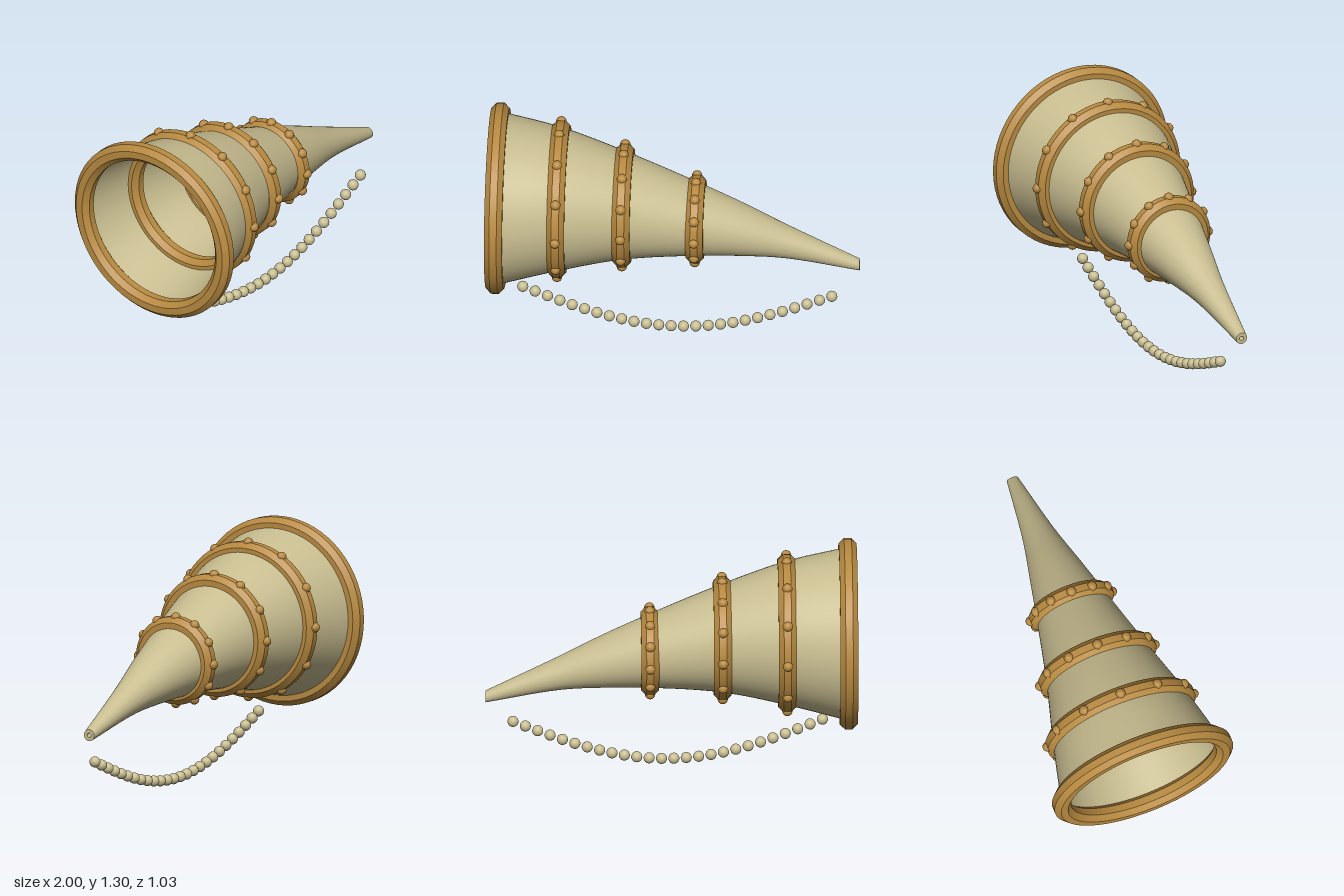
import * as THREE from 'three';
import { toCreasedNormals } from 'three/addons/utils/BufferGeometryUtils.js';

const cream = new THREE.MeshStandardMaterial({ color: 0xc8bd90 });
cream.name = 'cream horn';
const gold = new THREE.MeshStandardMaterial({ color: 0xb88a40 });
gold.name = 'old gold';

// Horn stations: x, height of the centre line, radius
const spine = new THREE.CatmullRomCurve3([
  [-0.95, 0.79, 0.468],
  [-0.62, 0.797, 0.388],
  [-0.275, 0.77, 0.293],
  [0.115, 0.698, 0.2],
  [0.36, 0.64, 0.145],
  [0.6, 0.57, 0.092],
  [0.998, 0.433, 0.032],
].map((p) => new THREE.Vector3(...p)));

function mesh(name, geometry, material) {
  const m = new THREE.Mesh(geometry, material);
  m.name = name;
  return m;
}

// Spin a profile of (radius, x) about the x axis
function latheX(points, segments) {
  return new THREE.LatheGeometry(points, segments).rotateZ(-Math.PI / 2);
}

// Hollow horn: outer wall to the tip, then the inner wall back to the mouth
function hornGeometry() {
  const stations = spine.getPoints(48);
  const rows = [
    ...stations.map((s) => ({ x: s.x, y: s.y, r: s.z })),
    ...stations.map((s) => ({ x: s.x, y: s.y, r: Math.max(s.z - 0.02, 0.01) })).reverse(),
  ];
  const geo = latheX(rows.map((s) => new THREE.Vector2(s.r, s.x)), 64);
  const pos = geo.attributes.position;
  // Lift each round section onto the drooping centre line
  for (let i = 0; i < pos.count; i++) pos.setY(i, pos.getY(i) + rows[i % rows.length].y);
  return toCreasedNormals(geo, 0.6);
}

// Band with an eight-sided section
function bandGeometry(radius) {
  const points = [];
  for (let i = 0; i <= 8; i++) {
    const a = (i - 0.5) * Math.PI / 4;
    points.push(new THREE.Vector2(radius + 0.052 * Math.cos(a), 0.052 * Math.sin(a)));
  }
  return toCreasedNormals(latheX(points, 64), 0.5);
}

export function createModel() {
  const model = new THREE.Group();
  model.name = 'banded horn';
  model.add(mesh('horn', hornGeometry(), cream));

  // Rim and three studded bands
  const studGeo = new THREE.SphereGeometry(0.028, 10, 8);
  const bands = [
    { name: 'mouthRim', x: -0.952, y: 0.79, r: 0.467, studs: 0 },
    { name: 'wideBand', x: -0.622, y: 0.797, r: 0.378, studs: 12 },
    { name: 'middleBand', x: -0.275, y: 0.77, r: 0.287, studs: 12 },
    { name: 'narrowBand', x: 0.115, y: 0.697, r: 0.192, studs: 12 },
  ];
  for (const b of bands) {
    const group = new THREE.Group();
    group.name = b.name;
    group.position.set(b.x, b.y, 0);
    group.add(mesh('band', bandGeometry(b.r), gold));
    for (let i = 0; i < b.studs; i++) {
      const a = (i / b.studs) * Math.PI * 2;
      const stud = mesh('stud', studGeo, gold);
      stud.position.set(0, Math.cos(a) * (b.r + 0.042), Math.sin(a) * (b.r + 0.042));
      stud.rotation.x = a;
      group.add(stud);
    }
    model.add(group);
  }

  // Hanging strand of beads
  const strand = new THREE.Group();
  strand.name = 'beadStrand';
  const beadGeo = new THREE.SphereGeometry(0.03, 16, 12);
  for (let i = 0; i < 26; i++) {
    const t = i / 25;
    const bead = mesh('bead', beadGeo, cream);
    bead.position.set(-0.815 + 1.665 * t, 0.257 - 0.227 * Math.sin(Math.PI * t), 0.055);
    strand.add(bead);
  }
  model.add(strand);
  return model;
}
